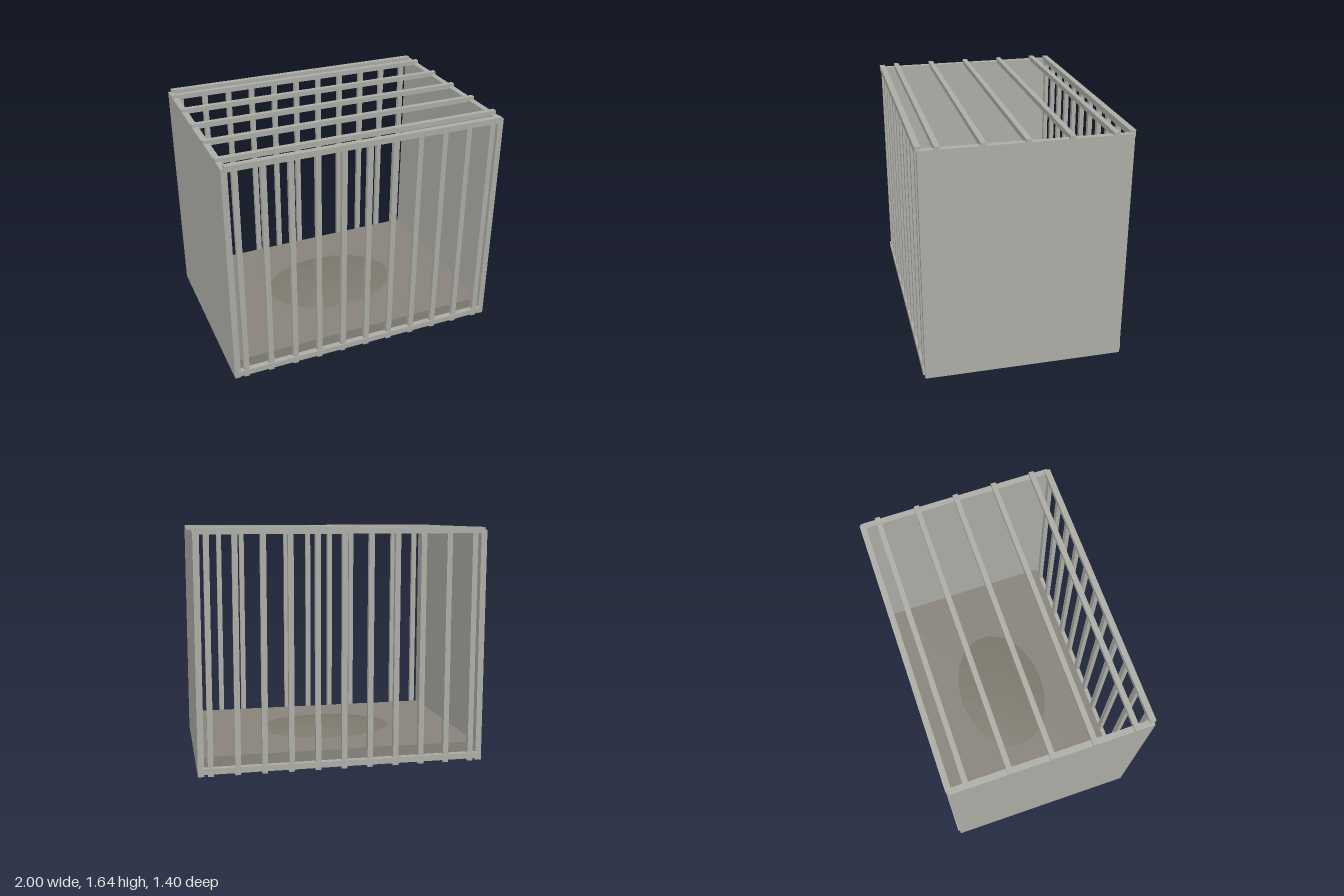
import * as THREE from 'three';

const metal = new THREE.MeshStandardMaterial({ color: 0xb0b0aa });
const floorMat = new THREE.MeshStandardMaterial({ color: 0x8a867e });
const moundMat = new THREE.MeshStandardMaterial({ color: 0x7f7b70, flatShading: true, side: THREE.DoubleSide });

export function createModel() {
  const cage = new THREE.Group();
  cage.name = 'cage';

  // Box given by its lower and upper corners
  const box = (name, [x0, y0, z0], [x1, y1, z1], material = metal) => {
    const mesh = new THREE.Mesh(new THREE.BoxGeometry(x1 - x0, y1 - y0, z1 - z0), material);
    mesh.position.set((x0 + x1) / 2, (y0 + y1) / 2, (z0 + z1) / 2);
    mesh.name = name;
    cage.add(mesh);
    return mesh;
  };

  // Solid side panels
  for (const s of [-1, 1]) {
    const panel = box(s > 0 ? 'leftPanel' : 'rightPanel', [0.956, 0, -0.688], [0.998, 1.624, 0.688]);
    panel.position.x *= s;
  }

  // Floor slab
  box('floor', [-0.957, 0.04, -0.655], [0.957, 0.128, 0.655], floorMat);

  // Shallow mound on the floor
  const profile = [];
  for (let i = 0; i <= 5; i++) {
    const r = 1 - i / 5;
    profile.push(new THREE.Vector2(r, 0.026 * (1 - r * r)));
  }
  const mound = new THREE.Mesh(new THREE.LatheGeometry(profile, 18), moundMat);
  mound.scale.set(0.52, 1, 0.36);
  mound.position.y = 0.126;
  mound.name = 'mound';
  cage.add(mound);

  // Barred front and back: two rails and eleven upright bars each
  for (const s of [-1, 1]) {
    const side = s > 0 ? 'front' : 'back';
    for (const [label, y] of [['BottomRail', 0.017], ['TopRail', 1.602]]) {
      box(side + label, [-0.977, y, 0.66], [0.977, y + 0.041, 0.7]).position.z *= s;
    }
    for (let k = -5; k <= 5; k++) {
      const x = k * 0.1825;
      box(side + 'Bar', [x - 0.019, 0, 0.663], [x + 0.019, 1.635, 0.694]).position.z *= s;
    }
  }

  // Roof bars resting across the panels
  for (let k = -2; k <= 2; k++) {
    const z = k * 0.283;
    box('roofBar', [-1, 1.61, z - 0.018], [1, 1.645, z + 0.018]);
  }

  return cage;
}
